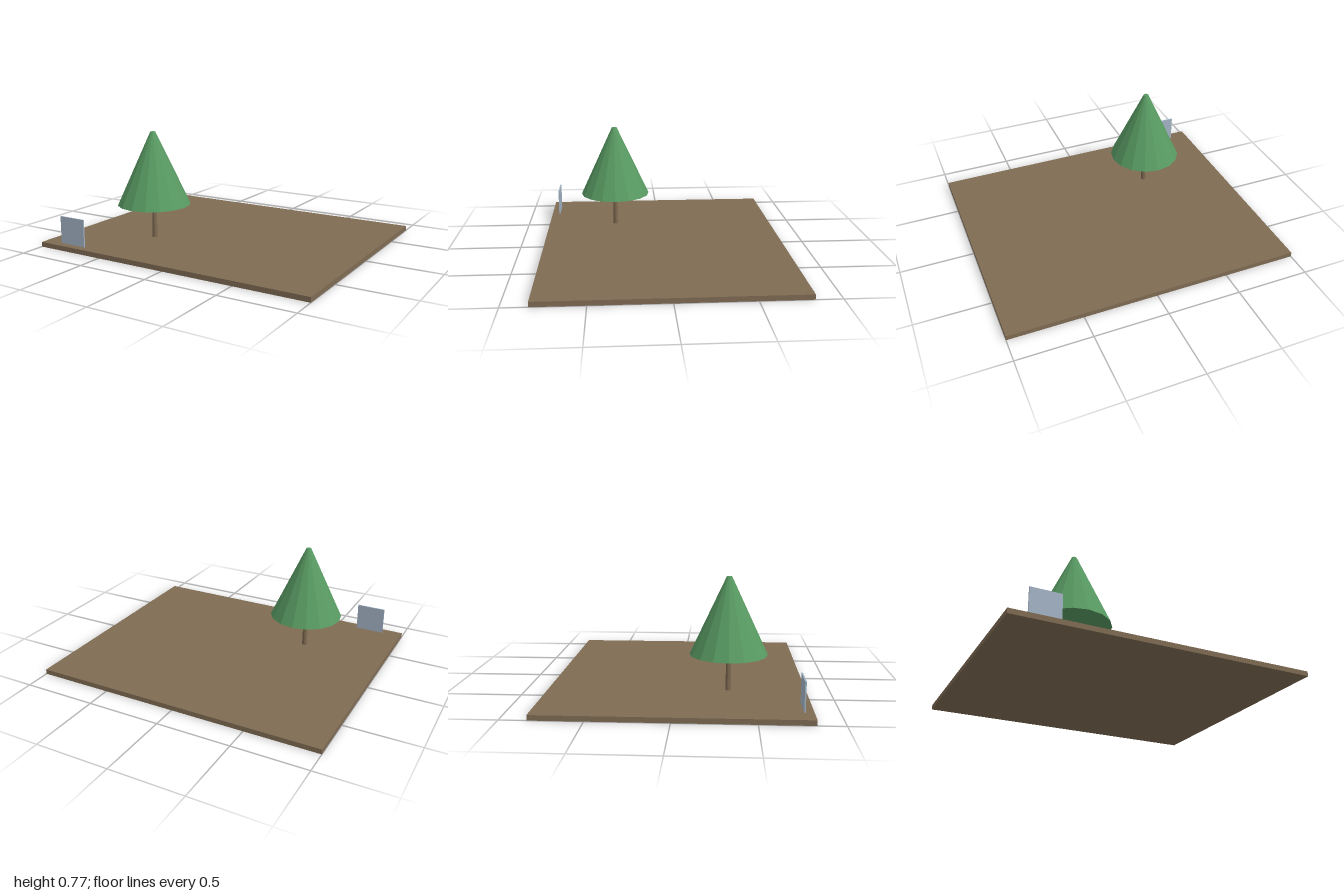
import * as THREE from 'three';

const material = (name, color) => {
  const m = new THREE.MeshStandardMaterial({ color });
  m.name = name;
  return m;
};

// Facet normals without sharing vertices
const faceted = (geometry) => {
  const g = geometry.toNonIndexed();
  g.computeVertexNormals();
  return g;
};

export function createModel() {
  const model = new THREE.Group();
  model.name = 'treeOnGround';

  const earth = material('earth brown', 0x7f6b53);
  const bark = material('bark brown', 0x7c6850);
  const leaves = material('leaf green', 0x589a62);
  const pale = material('pale blue', 0xa3b4c6);

  const add = (parent, name, geometry, mat, x, y, z) => {
    const mesh = new THREE.Mesh(geometry, mat);
    mesh.name = name;
    mesh.position.set(x, y, z);
    parent.add(mesh);
  };

  // Ground slab
  const top = 0.033;
  add(model, 'ground', new THREE.BoxGeometry(2, top, 1.664), earth, 0, top / 2, 0);

  // Tree: tapered trunk and a sixteen-sided truncated cone of foliage
  const tree = new THREE.Group();
  tree.name = 'tree';
  tree.position.set(-0.417, 0, 0.333);
  model.add(tree);
  const trunkHeight = 0.237;
  add(tree, 'trunk', faceted(new THREE.CylinderGeometry(0.014, 0.018, trunkHeight, 16)),
    bark, 0, top + trunkHeight / 2, 0);
  add(tree, 'foliage', faceted(new THREE.CylinderGeometry(0.017, 0.25, 0.5, 16)),
    leaves, 0, top + trunkHeight + 0.25, 0);

  // Thin upright panel near the front edge
  add(model, 'panel', new THREE.BoxGeometry(0.2, 0.187, 0.009), pale, -0.766, top + 0.0935, 0.776);

  return model;
}
